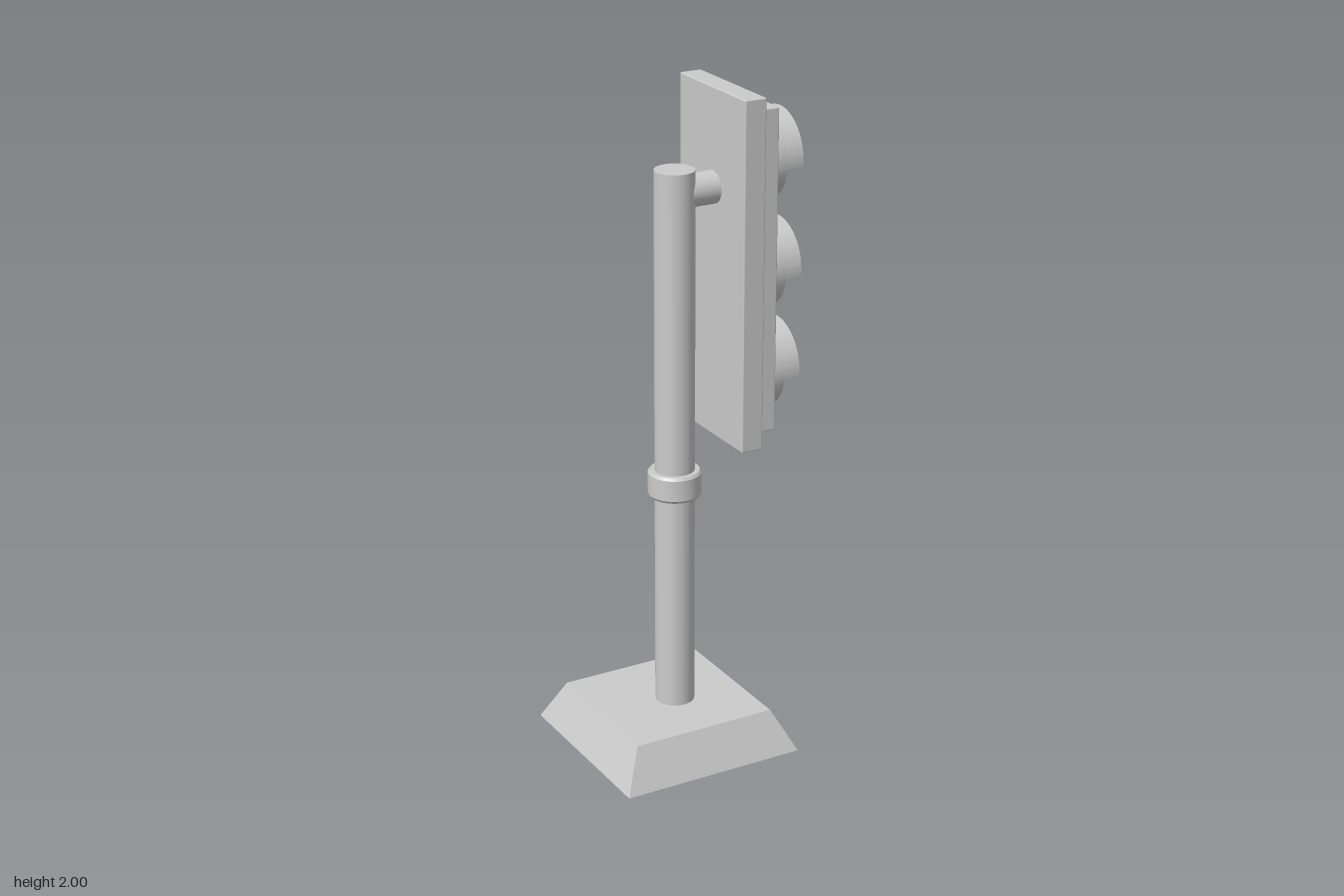
import * as THREE from 'three';
import { toCreasedNormals } from 'three/addons/utils/BufferGeometryUtils.js';
import { RoundedBoxGeometry } from 'three/addons/geometries/RoundedBoxGeometry.js';

const material = new THREE.MeshStandardMaterial({ color: 0xcccccc });
const AXIS_Z = 0.011; // depth of the pole, arm and lamps
const POLE_X = -0.02;

function add(parent, name, geometry, x = 0, y = 0, z = 0) {
  const mesh = new THREE.Mesh(geometry, material);
  mesh.name = name;
  mesh.position.set(x, y, z);
  parent.add(mesh);
  return mesh;
}

function lathe(points, segments = 48) {
  const profile = points.map(([r, h]) => new THREE.Vector2(r, h));
  return toCreasedNormals(new THREE.LatheGeometry(profile, segments), 0.5);
}

// Box spanning x0..x1, y0..y1, z0..z1 with slightly softened edges
function addPlate(parent, name, x0, x1, y0, y1, z0, z1) {
  const geometry = new RoundedBoxGeometry(x1 - x0, y1 - y0, z1 - z0, 2, 0.004);
  return add(parent, name, geometry, (x0 + x1) / 2, (y0 + y1) / 2, (z0 + z1) / 2);
}

// One lamp facing +x, with its origin on the front panel
function createLamp() {
  const lamp = new THREE.Group();

  // Shallow seat between the panel and the rim
  const seat = new THREE.CylinderGeometry(0.112, 0.112, 0.016, 48);
  seat.rotateZ(-Math.PI / 2);
  add(lamp, 'lampSeat', seat, 0.002);

  // Rim with a tapered inside
  const rim = lathe([[0.1, 0.006], [0.13, 0.006], [0.13, 0.042], [0.119, 0.042], [0.1, 0.006]]);
  rim.rotateZ(-Math.PI / 2);
  add(lamp, 'lampRim', rim);

  // Domed lens
  const lens = new THREE.SphereGeometry(0.098, 40, 16, 0, Math.PI * 2, 0, Math.PI / 2);
  lens.rotateZ(-Math.PI / 2);
  add(lamp, 'lens', lens, -0.006);

  // Hood: half ring over the top, reaching slightly below the middle
  const drop = 0.14;
  const shape = new THREE.Shape();
  shape.absarc(0, 0, 0.13, -drop, Math.PI + drop, false);
  shape.absarc(0, 0, 0.119, Math.PI + drop, -drop, true);
  shape.closePath();
  let hood = new THREE.ExtrudeGeometry(shape, { depth: 0.051, bevelEnabled: false, curveSegments: 28 });
  hood.rotateY(Math.PI / 2);
  hood = toCreasedNormals(hood, 0.5);
  add(lamp, 'hood', hood, 0.04);
  return lamp;
}

export function createModel() {
  const model = new THREE.Group();
  model.name = 'trafficLight';

  // Square tapered foot
  const base = new THREE.CylinderGeometry(
    0.226 * Math.SQRT2, 0.288 * Math.SQRT2, 0.125, 4, 1, false, Math.PI / 4);
  add(model, 'base', toCreasedNormals(base, 0.3), -0.039, 0.0625, -0.001);

  // Pole with a chamfered collar
  add(model, 'pole', new THREE.CylinderGeometry(0.059, 0.059, 1.67, 48), POLE_X, 0.945, AXIS_Z);
  const collar = lathe([
    [0.05, 0.795], [0.073, 0.795], [0.079, 0.803], [0.079, 0.867], [0.073, 0.875], [0.05, 0.875],
  ]);
  add(model, 'collar', collar, POLE_X, 0, AXIS_Z);

  // Arm from the pole to the signal head
  const arm = new THREE.CylinderGeometry(0.048, 0.048, 0.13, 40);
  arm.rotateZ(-Math.PI / 2);
  add(model, 'arm', arm, 0.045, 1.712, AXIS_Z);

  // Signal head
  addPlate(model, 'backPlate', 0.104, 0.172, 0.96, 2, -0.178, 0.185);
  addPlate(model, 'frontPanel', 0.168, 0.23, 1, 1.96, -0.15, 0.158);
  ['top', 'middle', 'bottom'].forEach((place, i) => {
    const lamp = createLamp();
    lamp.name = place + 'Lamp';
    lamp.position.set(0.23, [1.79, 1.467, 1.16][i], AXIS_Z);
    model.add(lamp);
  });

  return model;
}
